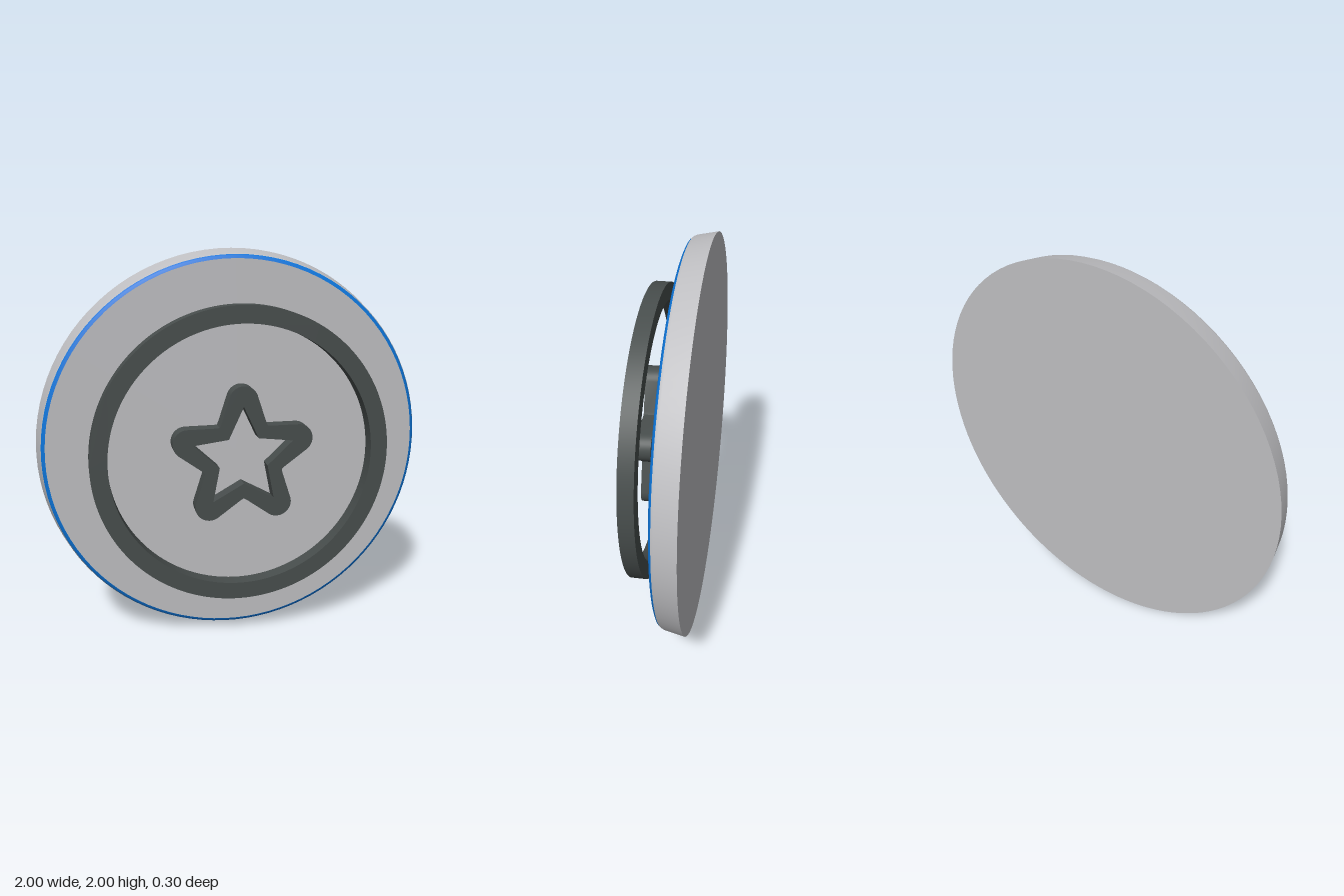
import * as THREE from 'three';
import { toCreasedNormals } from 'three/addons/utils/BufferGeometryUtils.js';

const CENTRE_Y = 1;
const SEGMENTS = 96;

export function createModel() {
  const grey = new THREE.MeshStandardMaterial({ color: 0xbfbfc2 });
  grey.name = 'light grey';
  const dark = new THREE.MeshStandardMaterial({ color: 0x484e4d });
  dark.name = 'dark grey';
  const blue = new THREE.MeshStandardMaterial({ color: 0x0c74d8 });
  blue.name = 'blue';

  const model = new THREE.Group();
  model.name = 'roundButton';

  const add = (parent, name, geometry, material) => {
    const mesh = new THREE.Mesh(geometry, material);
    mesh.name = name;
    parent.add(mesh);
    return mesh;
  };

  // Surface of revolution about the z axis, from [radius, z] pairs
  const turned = (profile) => new THREE.LatheGeometry(
    profile.map(([r, z]) => new THREE.Vector2(r, z)), SEGMENTS).rotateX(Math.PI / 2);

  // Base disc: flat back, tapered rim, blue edge line, flat face
  const base = new THREE.Group();
  base.name = 'baseDisc';
  base.position.y = CENTRE_Y;
  model.add(base);
  add(base, 'backFace', turned([[0, -0.15], [1, -0.15]]), grey);
  add(base, 'rim', turned([[1, -0.15], [0.98, -0.05], [0.974, -0.038]]), grey);
  add(base, 'edgeLine', turned([[0.974, -0.038], [0.967, -0.03], [0.955, -0.025]]), blue);
  add(base, 'frontFace', turned([[0.955, -0.025], [0, -0.025]]), grey);

  // Raised outlines floating in front of the face
  const raise = (name, shape) => {
    const geometry = new THREE.ExtrudeGeometry(shape,
      { depth: 0.075, bevelEnabled: false, curveSegments: SEGMENTS });
    const mesh = add(model, name, toCreasedNormals(geometry, 0.5), dark);
    mesh.position.set(0, CENTRE_Y, 0.075);
  };

  // Circular outline
  const ring = new THREE.Shape().absarc(0, 0, 0.75, 0, Math.PI * 2, false);
  ring.holes.push(new THREE.Path().absarc(0, 0, 0.663, 0, Math.PI * 2, true));
  raise('circleOutline', ring);

  // Star outline: round outer tips, sharp inner tips
  const polar = (r, a) => new THREE.Vector2(r * Math.cos(a), r * Math.sin(a));
  const outer = [];
  const inner = [];
  const tipSpread = 1.15; // half angle of each round tip
  for (let i = 0; i < 5; i++) {
    const a = Math.PI / 2 + i * Math.PI * 2 / 5;
    const notch = a + Math.PI / 5;
    const cap = polar(0.292, a);
    for (let k = 0; k <= 12; k++) {
      outer.push(polar(0.073, a + tipSpread * (k / 6 - 1)).add(cap));
    }
    // Slightly softened notch between two tips
    outer.push(polar(0.213, notch - 0.07), polar(0.204, notch), polar(0.213, notch + 0.07));
    inner.push(polar(0.263, a), polar(0.127, notch));
  }
  const star = new THREE.Shape(outer);
  star.holes.push(new THREE.Path(inner.reverse()));
  raise('starOutline', star);

  return model;
}
